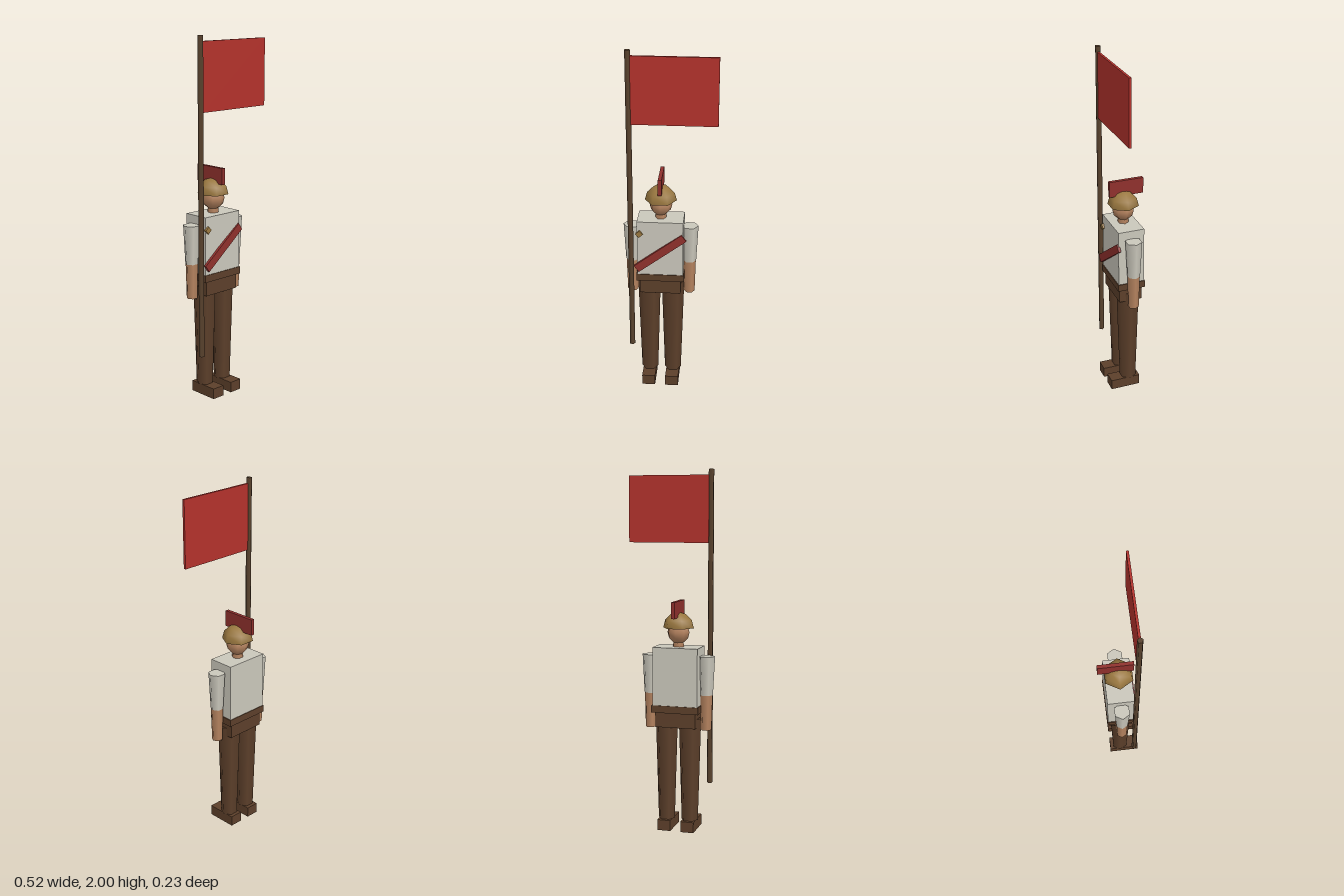
import * as THREE from 'three';

const mat = (name, color, extra = {}) => {
  const m = new THREE.MeshStandardMaterial({ color, ...extra });
  m.name = name;
  return m;
};

export function createModel() {
  const cloth = mat('brown cloth', 0x5c3f2a);
  const wood = mat('pole wood', 0x5a432e);
  const shirt = mat('off-white shirt', 0xcac7bb);
  const skin = mat('skin', 0xb5835f);
  const brass = mat('brass', 0x9a7840, { side: THREE.DoubleSide });
  const flagRed = mat('flag red', 0xb3322c);
  const darkRed = mat('dark red', 0x8f302c);

  const model = new THREE.Group();
  model.name = 'standardBearer';
  const body = new THREE.Group();
  body.name = 'body';
  body.position.x = -0.051;
  model.add(body);

  const add = (parent, name, geo, material, x, y, z) => {
    const m = new THREE.Mesh(geo, material);
    m.name = name;
    m.position.set(x, y, z);
    parent.add(m);
    return m;
  };
  const box = (parent, name, material, w, h, d, x, y, z) =>
    add(parent, name, new THREE.BoxGeometry(w, h, d), material, x, y, z);
  // Tapered upright limb with a corner facing +x
  const limb = (parent, name, material, rTop, rBottom, y0, y1, x, z, sides = 6) => {
    const geo = new THREE.CylinderGeometry(rTop, rBottom, y1 - y0, sides).rotateY(Math.PI / 2);
    return add(parent, name, geo, material, x, (y0 + y1) / 2, z);
  };

  // Trunk
  box(body, 'torso', shirt, 0.255, 0.322, 0.15, 0, 0.876, 0);
  box(body, 'belt', cloth, 0.266, 0.04, 0.158, 0, 0.695, 0);
  box(body, 'hips', cloth, 0.228, 0.085, 0.132, 0, 0.635, 0);

  // Legs and arms
  for (const [side, s] of [['left', 1], ['right', -1]]) {
    limb(body, side + 'Leg', cloth, 0.064, 0.047, 0.06, 0.64, s * 0.067, 0);
    box(body, side + 'Shoe', cloth, 0.075, 0.06, 0.173, s * 0.067, 0.03, 0.026);
    limb(body, side + 'Sleeve', shirt, 0.047, 0.036, 0.775, 0.99, s * 0.161, 0);
    limb(body, side + 'Forearm', skin, 0.035, 0.03, 0.58, 0.775, s * 0.16, 0);
  }

  // Head and crested helmet
  limb(body, 'neck', skin, 0.029, 0.031, 1.03, 1.08, 0, 0);
  add(body, 'head', new THREE.SphereGeometry(0.063, 8, 6), skin, 0, 1.117, 0);
  add(body, 'helmet', new THREE.SphereGeometry(0.0875, 6, 3, 0, Math.PI * 2, 0, Math.PI / 2),
    brass, 0, 1.141, 0);
  box(body, 'crest', darkRed, 0.02, 0.09, 0.197, 0, 1.245, -0.016);

  // Sash and badge on the chest
  const sash = box(body, 'sash', darkRed, 0.325, 0.046, 0.015, 0, 0.852, 0.081);
  sash.rotation.set(0, 0.05, 0.63);
  sash.rotation.order = 'YXZ';
  const badge = box(body, 'badge', brass, 0.029, 0.029, 0.016, -0.114, 0.967, 0.079);
  badge.rotation.z = 0.72;

  // Flag on its pole
  limb(model, 'flagPole', wood, 0.0157, 0.0157, 0.26, 2, -0.2125, 0.079, 5);
  box(model, 'flag', flagRed, 0.457, 0.367, 0.013, 0.0285, 1.786, 0.079);

  return model;
}
